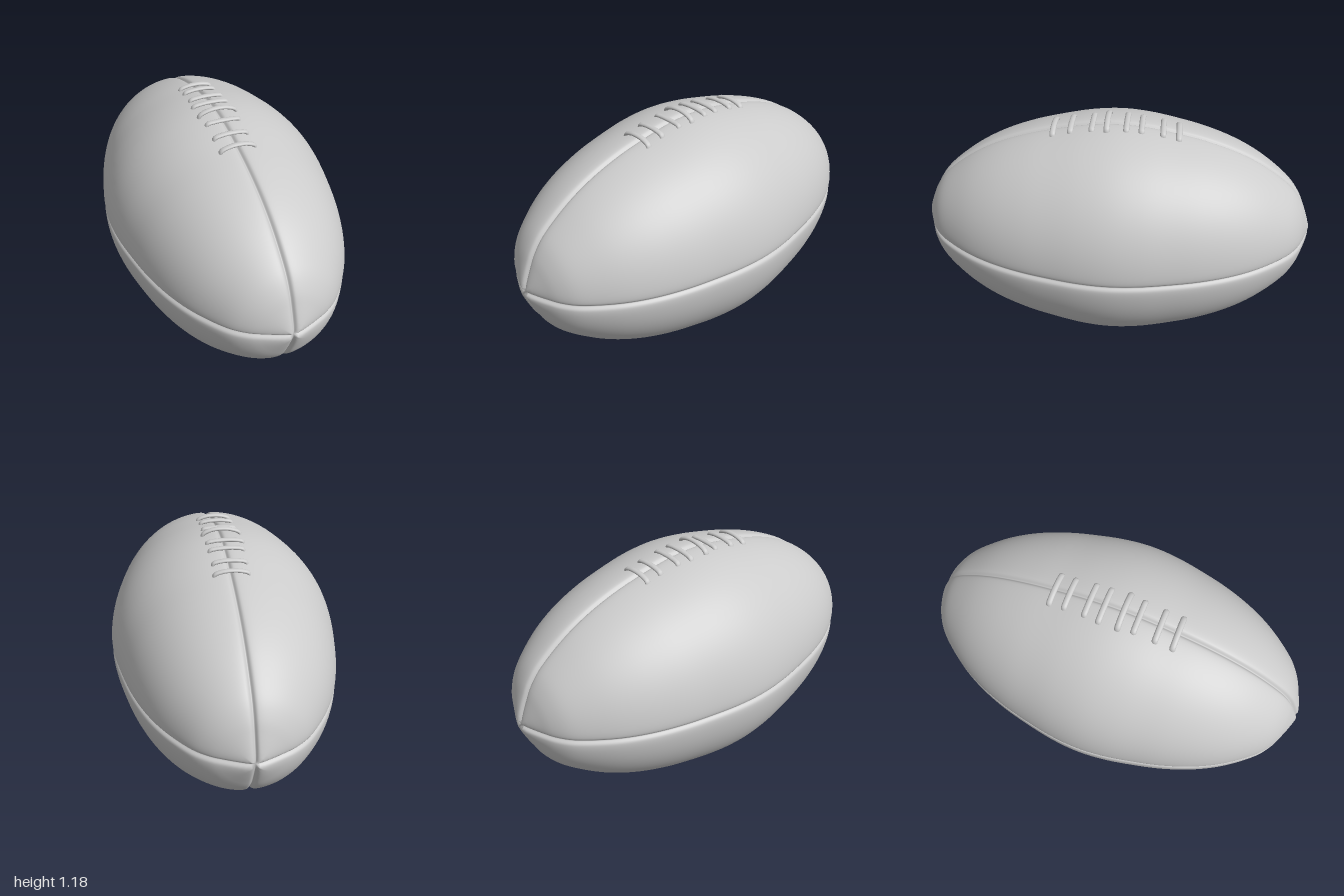
import * as THREE from 'three';
import { mergeVertices } from 'three/addons/utils/BufferGeometryUtils.js';

const RADIUS = 0.573;

// Four-panel ball: a lathe whose vertices sink along the seams
function ballGeometry() {
  const half = [[0, 1], [0.025, 0.998], [0.075, 0.98], [0.13, 0.957], [0.19, 0.928], [0.26, 0.875],
    [0.335, 0.785], [0.4, 0.685], [0.455, 0.57], [0.5, 0.44], [0.532, 0.31], [0.562, 0.15]];
  const points = [
    ...half.map(([r, z]) => new THREE.Vector2(r, -z)),
    new THREE.Vector2(RADIUS, 0),
    ...half.slice().reverse().map(([r, z]) => new THREE.Vector2(r, z)),
  ];
  const profile = new THREE.SplineCurve(points).getSpacedPoints(110);
  profile.forEach((p) => { p.x = Math.max(p.x, 0); });
  const geo = new THREE.LatheGeometry(profile, 160);
  const pos = geo.attributes.position, nor = geo.attributes.normal;
  const quarter = Math.PI / 2;
  for (let i = 0; i < pos.count; i++) {
    const r = Math.hypot(pos.getX(i), pos.getZ(i));
    const y = pos.getY(i);
    const atTip = r < 1e-4;
    const nr = atTip ? 0 : Math.hypot(nor.getX(i), nor.getZ(i));
    const ny = atTip ? Math.sign(y) : nor.getY(i);
    // Crowd the columns towards the seams
    const q = (Math.atan2(pos.getX(i), pos.getZ(i)) + 2 * Math.PI) / quarter;
    const k = Math.floor(q + 1e-5);
    const t = q - k;
    const e = t - 0.9 * Math.sin(2 * Math.PI * t) / (2 * Math.PI);
    const phi = (k + e) * quarter;
    // Narrow groove with softly rounded shoulders
    const d = r * Math.min(Math.abs(e), 1 - e) * quarter;
    const sink = 0.014 * Math.exp(-((d / 0.01) ** 2)) + 0.004 * Math.exp(-((d / 0.028) ** 2));
    const rr = Math.max(r - nr * sink, 0);
    pos.setXYZ(i, rr * Math.sin(phi), y - ny * sink, rr * Math.cos(phi));
  }
  geo.deleteAttribute('uv');
  geo.deleteAttribute('normal');
  const merged = mergeVertices(geo, 1e-5);
  merged.rotateX(Math.PI / 2);
  merged.computeVertexNormals();
  return merged;
}

// One lace: a flattened cord arching over the top seam, ends tucked into the ball
function laceGeometry(z, left, right, top) {
  const r = 0.009;
  const ring = RADIUS - 0.45 * z * z;
  const surface = (x) => RADIUS + Math.sqrt(ring * ring - x * x);
  const crown = top - r;
  const at = (x, f) => new THREE.Vector3(x, THREE.MathUtils.lerp(surface(x), crown, f), 0);
  const tuck = (x) => new THREE.Vector3(x, surface(x) - 0.014, 0);
  const path = new THREE.CatmullRomCurve3([
    tuck(left), at(left * 0.92, 0.25), at(left * 0.5, 0.8), at(0, 1),
    at(right * 0.5, 0.8), at(right * 0.92, 0.25), tuck(right),
  ]);
  const geo = new THREE.TubeGeometry(path, 36, r, 12);
  geo.scale(1, 1, 1.6);
  geo.translate(0, 0, z);
  return geo;
}

export function createModel() {
  const model = new THREE.Group();
  model.name = 'ball';
  const material = new THREE.MeshStandardMaterial({ color: 0xcccccc });

  const body = new THREE.Mesh(ballGeometry(), material);
  body.name = 'body';
  body.position.y = RADIUS;
  model.add(body);

  // z, left end x, right end x, top height
  const laces = new THREE.Group();
  laces.name = 'laces';
  [
    [-0.302, -0.088, 0.08, 1.13],
    [-0.226, -0.088, 0.075, 1.143],
    [-0.123, -0.093, 0.078, 1.156],
    [-0.05, -0.103, 0.08, 1.162],
    [0.043, -0.103, 0.09, 1.179],
    [0.116, -0.09, 0.08, 1.153],
    [0.22, -0.09, 0.078, 1.144],
    [0.306, -0.09, 0.083, 1.133],
  ].forEach((row) => {
    const lace = new THREE.Mesh(laceGeometry(...row), material);
    lace.name = 'lace';
    laces.add(lace);
  });
  model.add(laces);
  return model;
}
